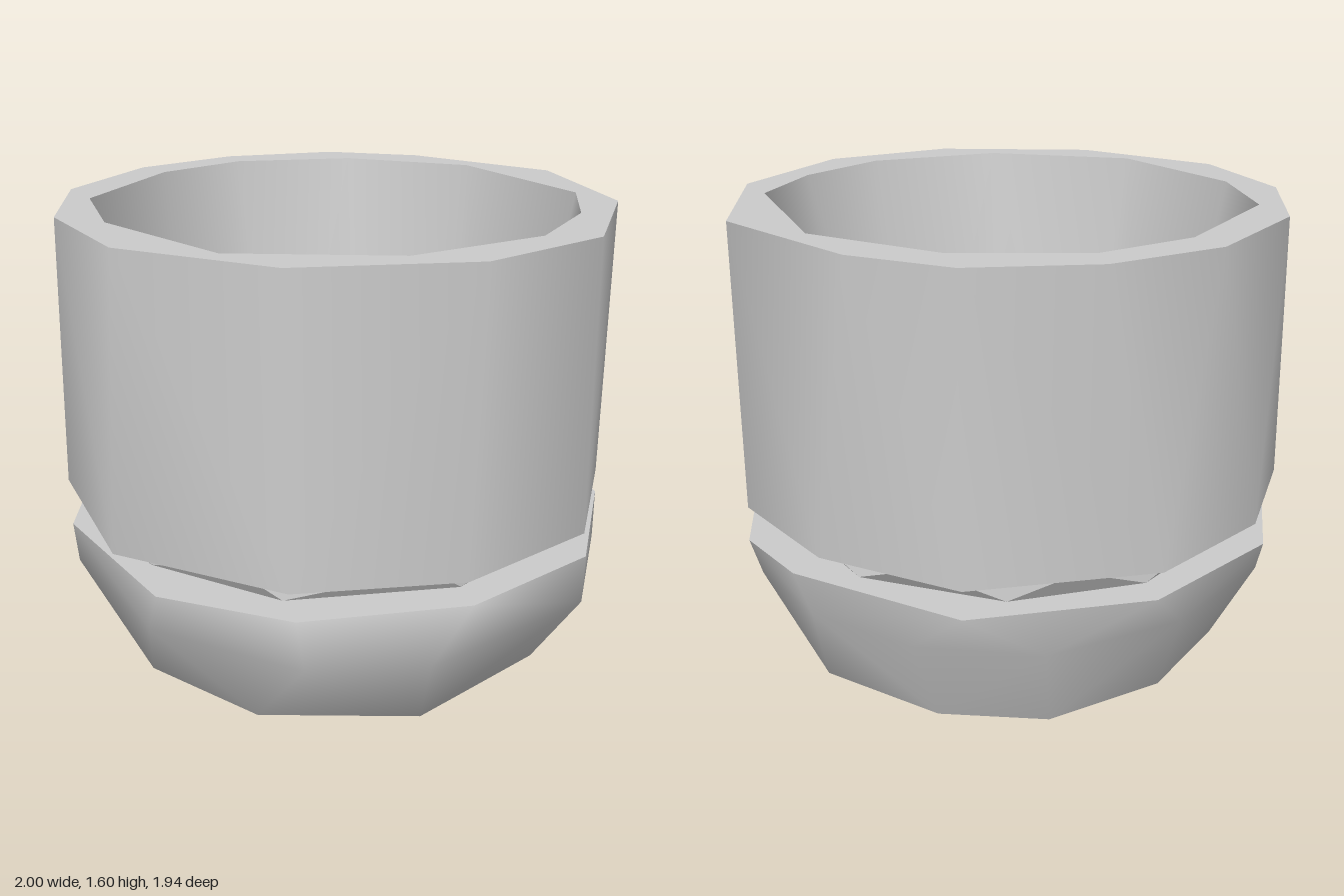
import * as THREE from 'three';

// Outlines of the hand-cut rings as [x, z] corners
const foot = [[.81, -.13], [.58, -.54], [.27, -.75], [-.17, -.75], [-.54, -.56], [-.79, -.05], [-.67, .42], [-.25, .77], [.32, .74], [.66, .48]];
const shoulder = [[.95, .1], [.72, .66], [.3, .97], [-.38, .95], [-.7, .72], [-.94, .2], [-.88, -.38], [-.6, -.72], [-.15, -.89], [.35, -.86], [.7, -.6], [.9, -.25]];
const baseRim = [[1, .07], [.77, .62], [.33, .95], [-.2, .95], [-.7, .68], [-.95, .27], [-.9, -.37], [-.54, -.82], [0, -.96], [.6, -.77], [.95, -.23]];
const sleeveBottom = [[.98, .12], [.75, .63], [.3, .96], [-.24, .96], [-.72, .67], [-1, .1], [-.83, -.52], [-.48, -.84], [-.01, -.97], [.6, -.77], [.9, -.35]];
const sleeveTop = [[.98, .1], [.73, .65], [.27, .97], [-.22, .97], [-.72, .66], [-.97, .15], [-.9, -.33], [-.63, -.72], [-.2, -.94], [.21, -.94], [.6, -.77], [.82, -.48]];
const innerRim = [[-.19, -.8], [.17, -.82], [.56, -.6], [.82, -.18], [.73, .46], [.48, .7], [.14, .85], [-.35, .78], [-.76, .41], [-.81, -.16], [-.66, -.53]];
const floorRing = [[-.19, -.57], [.17, -.57], [.44, -.4], [.61, -.07], [.55, .27], [.35, .51], [.11, .6], [-.26, .57], [-.5, .34], [-.6, -.07], [-.44, -.39]];
const centre = [[0, 0]];
const neckLower = [15, 58, 100, 140, 175, 200, 230, 268, 300, 335].map(a => polar(a, .85));
const neckUpper = [0, 34, 72, 109, 150, 185, 215, 250, 285, 318].map(a => polar(a, .875));

function polar(deg, r) {
  const a = THREE.MathUtils.degToRad(deg);
  return [r * Math.cos(a), r * Math.sin(a)];
}

// Skin through a series of [ring, y]; neighbouring rings may differ in corner count
function skin(levels) {
  const positions = [], index = [];
  const turn = Math.PI * 2;
  const angle = ([x, z]) => (Math.atan2(z, x) + turn) % turn;
  const rings = levels.map(([ring, y]) => {
    const start = positions.length / 3;
    const sorted = [...ring].sort((a, b) => angle(a) - angle(b));
    for (const [x, z] of sorted) positions.push(x, y, z);
    return { start, n: sorted.length, angles: sorted.map(angle) };
  });
  for (let k = 0; k + 1 < rings.length; k++) {
    const a = rings[k], b = rings[k + 1];
    const id = (r, i) => r.start + i % r.n;
    const next = (r, i) => i >= r.n ? Infinity : i + 1 === r.n ? turn + r.angles[0] : r.angles[i + 1];
    let i = 0, j = 0;
    while (i < a.n || j < b.n) {
      if (next(a, i) < next(b, j)) {
        if (a.n > 1) index.push(id(a, i), id(b, j), id(a, i + 1));
        i++;
      } else {
        if (b.n > 1) index.push(id(a, i), id(b, j), id(b, j + 1));
        j++;
      }
    }
  }
  const geometry = new THREE.BufferGeometry();
  geometry.setAttribute('position', new THREE.Float32BufferAttribute(positions, 3));
  geometry.setIndex(index);
  geometry.computeVertexNormals();
  return geometry;
}

export function createModel() {
  const group = new THREE.Group();
  const smooth = new THREE.MeshStandardMaterial({ color: 0xcccccc });
  const faceted = new THREE.MeshStandardMaterial({ color: 0xcccccc, flatShading: true });
  const add = (name, levels, material = smooth) => {
    const mesh = new THREE.Mesh(skin(levels), material);
    mesh.name = name;
    group.add(mesh);
  };

  // Tapered base, from the underside out to its ledge
  add('underside', [[centre, 0], [foot, 0]]);
  add('baseWall', [[foot, 0], [shoulder, .33], [baseRim, .485]]);
  add('baseLedge', [[baseRim, .485], [neckLower, .485]]);

  // Recessed groove
  add('neck', [[neckLower, .485], [neckUpper, .585]], faceted);

  // Upper sleeve
  add('sleeveUnderside', [[neckUpper, .585], [sleeveBottom, .585]]);
  add('sleeveWall', [[sleeveBottom, .585], [sleeveTop, 1.6]]);
  add('rim', [[sleeveTop, 1.6], [innerRim, 1.6]]);

  // Hollow inside, narrowing evenly to the floor
  add('innerWall', [[innerRim, 1.6], [floorRing, .17]]);
  add('innerFloor', [[floorRing, .17], [centre, .17]]);

  return group;
}
